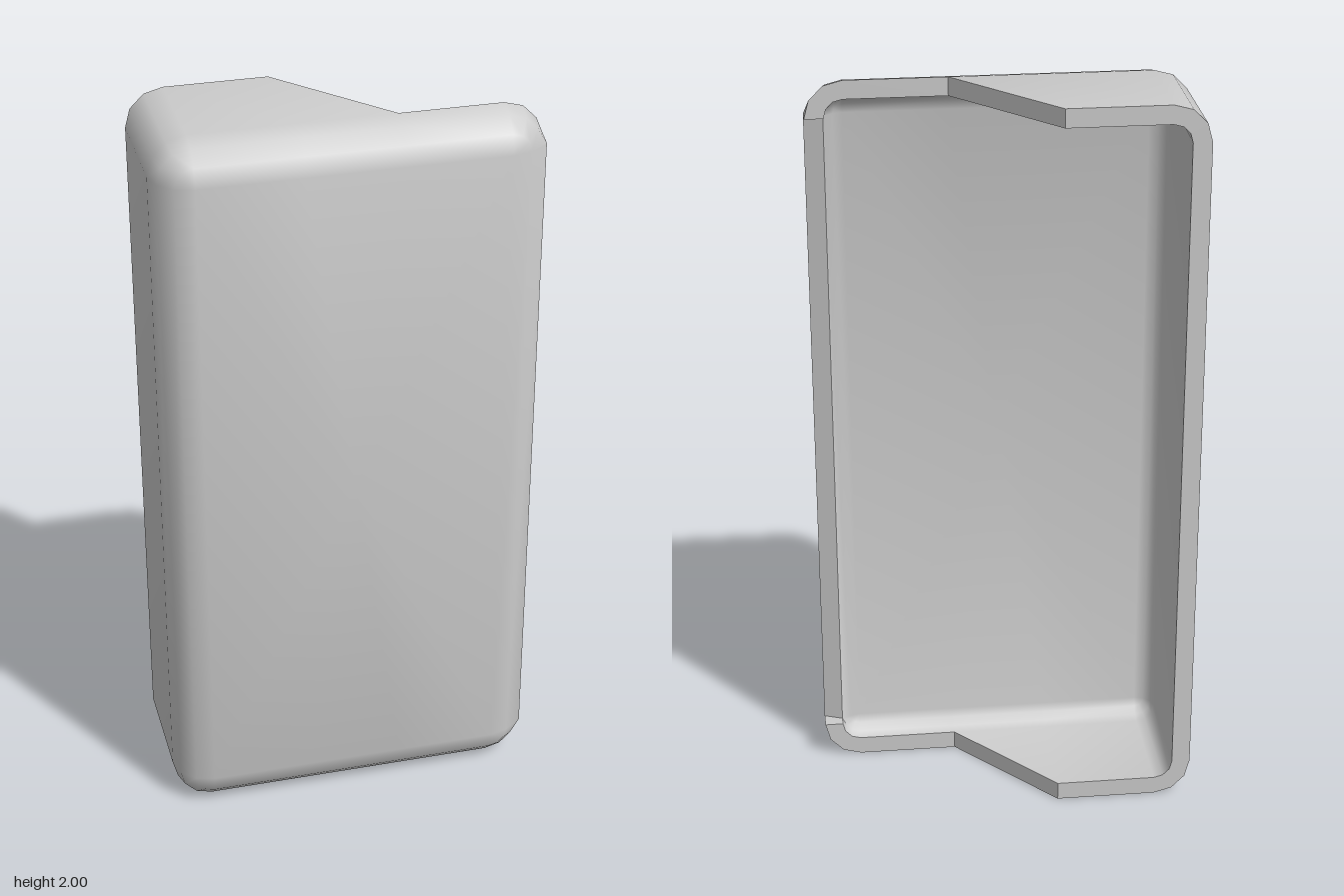
import * as THREE from 'three';
import { toCreasedNormals } from 'three/addons/utils/BufferGeometryUtils.js';

const OUTER = 0.1, INNER = 0.05; // concentric fillet radii, wall is their difference
const STEPS = 3;
const WALL = STEPS + 1; // profile index of the rear rim

// Columns round the outline, anticlockwise from the upper right corner.
function makeColumns() {
  const columns = [];
  const corner = (x, y, start) => {
    for (let i = 0; i <= STEPS; i++) columns.push({ x, y, a: start + (i / STEPS) * Math.PI / 2 });
  };
  const cut = (y, a, xs) => xs.forEach((x) => columns.push({ x, y, a }));
  corner(0.4, 1.9, 0);
  cut(1.9, Math.PI / 2, [0.13, -0.13]);
  corner(-0.4, 1.9, Math.PI / 2);
  corner(-0.4, 0.1, Math.PI);
  cut(0.1, Math.PI * 1.5, [-0.13, 0.13]);
  corner(0.4, 0.1, Math.PI * 1.5);
  return columns;
}

// Point k of a column's profile: the fillet from the front face, then the rear rim.
function profilePoint(col, k, r) {
  const phi = Math.min(k / STEPS, 1) * Math.PI / 2;
  let rad = r * Math.sin(phi);
  let z = 0.1 + r * Math.cos(phi);
  if (k === WALL) z = col.x > 0 ? 0.1 : -0.2;
  // Open side edge, squared off to full width
  if (k === 2 && Math.cos(col.a) > 0.999) {
    rad = r;
    z = r === OUTER ? 0.15 : 0.13;
  }
  return new THREE.Vector3(col.x + rad * Math.cos(col.a), col.y + rad * Math.sin(col.a), z);
}

function makeShell() {
  const points = [];
  const tri = (a, b, c) => {
    if (new THREE.Triangle(a, b, c).getArea() > 1e-7) points.push(a, b, c);
  };
  const quad = (a, b, c, d) => { tri(a, b, c); tri(a, c, d); };

  const columns = makeColumns();
  const last = columns.length - 1;
  const out = (c, k) => profilePoint(c, k, OUTER);
  const inn = (c, k) => profilePoint(c, k, INNER);

  columns.forEach((a, i) => {
    const b = columns[(i + 1) % columns.length];
    const end = i === last ? 2 : WALL; // the open side stops at a low lip

    // Front plate, outside and inside
    tri(new THREE.Vector3(0, 1, 0.2), out(a, 0), out(b, 0));
    tri(new THREE.Vector3(0, 1, 0.15), inn(b, 0), inn(a, 0));

    // Fillets and side walls
    for (let k = 0; k < end; k++) {
      quad(out(a, k), out(a, k + 1), out(b, k + 1), out(b, k));
      quad(inn(a, k), inn(b, k), inn(b, k + 1), inn(a, k + 1));
    }
    // Rim
    quad(out(a, end), inn(a, end), inn(b, end), out(b, end));
  });

  // Ends of the corner hooks beside the open side
  const top = columns[0], bottom = columns[last];
  quad(out(top, 2), inn(top, 2), inn(top, 3), out(top, 3));
  quad(out(bottom, 2), out(bottom, 3), inn(bottom, 3), inn(bottom, 2));

  return toCreasedNormals(new THREE.BufferGeometry().setFromPoints(points), 0.7);
}

export function createModel() {
  const group = new THREE.Group();
  group.name = 'cover';
  const shell = new THREE.Mesh(makeShell(), new THREE.MeshStandardMaterial({ color: 0xcccccc }));
  shell.name = 'shell';
  group.add(shell);
  return group;
}
